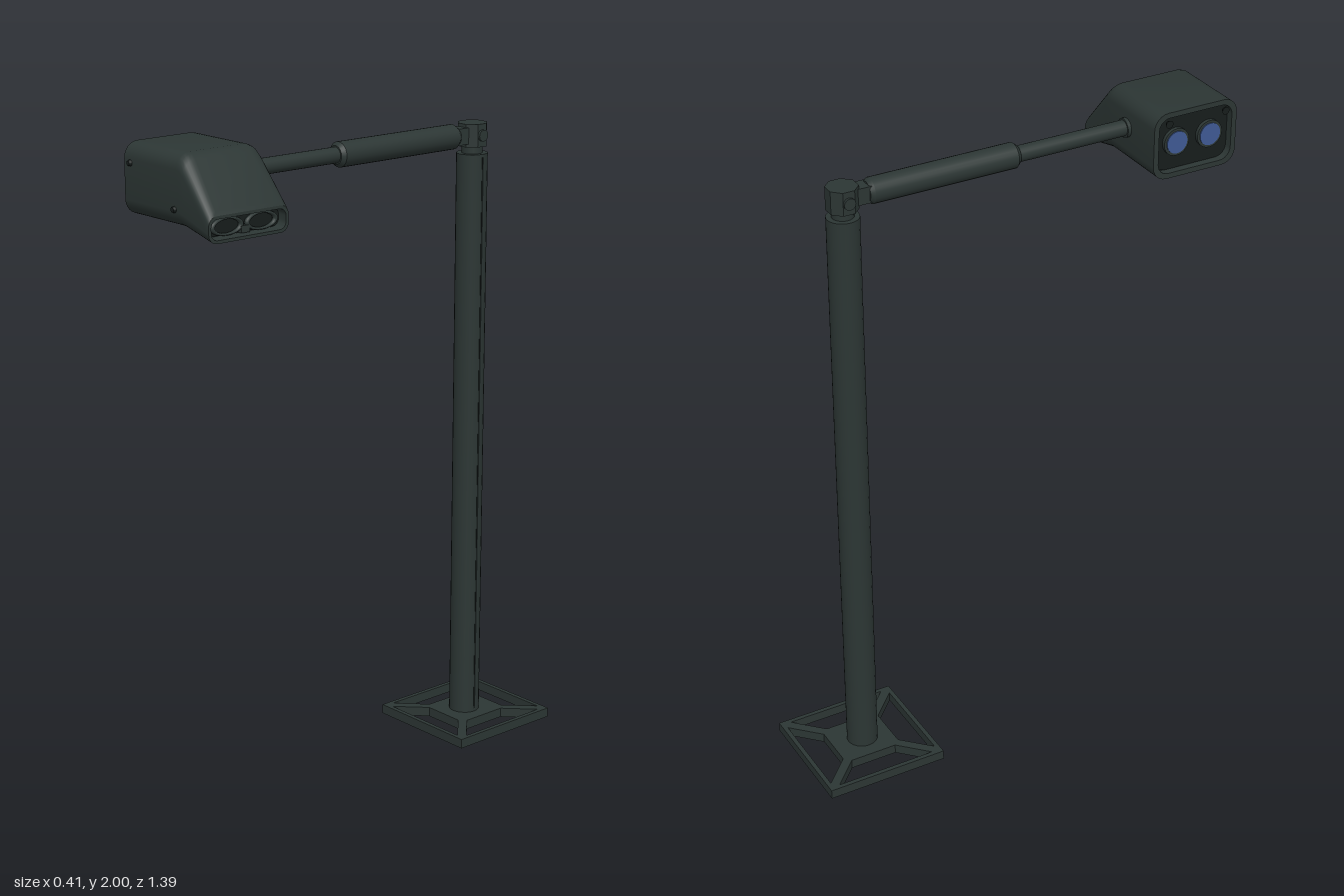
import * as THREE from 'three';
import { toCreasedNormals } from 'three/addons/utils/BufferGeometryUtils.js';

const material = (name, color) => new THREE.MeshStandardMaterial({ name, color });

// Rounded rectangle section across x, between heights y0..y1 and depths z0..z1
function section(x, y0, y1, inset, radius) {
  const z0 = 0.41 + inset, z1 = 0.688 - inset, pts = [], steps = 6;
  y0 += inset; y1 -= inset;
  const r = Math.min(radius, (y1 - y0) / 2.1);
  const corners = [[z1 - r, y1 - r], [z0 + r, y1 - r], [z0 + r, y0 + r], [z1 - r, y0 + r]];
  corners.forEach(([z, y], k) => {
    for (let i = 0; i <= steps; i++) {
      const t = (k + i / steps) * Math.PI / 2;
      pts.push([x, y + r * Math.sin(t), z + r * Math.cos(t)]);
    }
  });
  return pts;
}

// Skin joining the sections, closed at both ends
function loft(rings) {
  const n = rings[0].length, pos = rings.flat(2), idx = [];
  for (let i = 0; i < rings.length - 1; i++) {
    for (let j = 0; j < n; j++) {
      const a = i * n + j, b = i * n + (j + 1) % n;
      idx.push(a, a + n, b, b, a + n, b + n);
    }
  }
  const last = (rings.length - 1) * n;
  for (let j = 1; j < n - 1; j++) idx.push(0, j, j + 1, last, last + j + 1, last + j);
  const g = new THREE.BufferGeometry();
  g.setAttribute('position', new THREE.Float32BufferAttribute(pos, 3));
  g.setIndex(idx);
  return toCreasedNormals(g, 0.5);
}

export function createModel() {
  const model = new THREE.Group();
  const body = material('dark green grey', 0x2c3634);
  const dark = material('near black', 0x171d1c);
  const glass = material('blue glass', 0x3f5a94);
  const X = -0.021, Z = -0.5, ARM_Y = 1.907;

  const add = (name, geometry, mat, x = 0, y = 0, z = 0) => {
    const mesh = new THREE.Mesh(geometry, mat);
    mesh.name = name;
    mesh.position.set(x, y, z);
    model.add(mesh);
    return mesh;
  };
  // Cylinder centred at a point and turned along an axis
  const rod = (name, mat, r0, r1, length, axis, x, y, z, sides = 20) => {
    const g = new THREE.CylinderGeometry(r1, r0, length, sides);
    if (axis === 'x') g.rotateZ(-Math.PI / 2);
    if (axis === 'z') g.rotateX(Math.PI / 2);
    return add(name, g, mat, x, y, z);
  };

  // Base: square frame, centre plate and diagonal braces
  const w = 0.187, l = 0.193, iw = w - 0.014, il = l - 0.014, pw = 0.088, pl = 0.095, d = 0.02;
  const polygon = (pts, C) => new C(pts.map(([x, y]) => new THREE.Vector2(x, y)));
  const frame = polygon([[-w, -l], [w, -l], [w, l], [-w, l]], THREE.Shape);
  for (const s of [-1, 1]) {
    frame.holes.push(
      polygon([[-iw + d, s * il], [iw - d, s * il], [pw - d, s * pl], [-pw + d, s * pl]], THREE.Path),
      polygon([[s * iw, -il + d], [s * iw, il - d], [s * pw, pl - d], [s * pw, -pl + d]], THREE.Path));
  }
  const baseGeo = new THREE.ExtrudeGeometry(frame, { depth: 0.03, bevelEnabled: false });
  baseGeo.rotateX(-Math.PI / 2);
  add('base', baseGeo, body, X, 0, -0.505);

  // Column with a narrow seam along its side
  rod('column', body, 0.048, 0.048, 1.82, 'y', X, 0.94, Z, 24);
  add('columnSeam', new THREE.BoxGeometry(0.004, 1.8, 0.006), dark, X + 0.047, 0.94, Z);

  // Swivel joint at the column top
  rod('swivelNeck', body, 0.032, 0.032, 0.04, 'y', X, 1.86, Z);
  const joint = new THREE.CylinderGeometry(0.047, 0.047, 0.07, 8).toNonIndexed();
  joint.rotateY(Math.PI / 8);
  joint.computeVertexNormals();
  add('swivelJoint', joint, body, X, ARM_Y, Z);
  rod('hingePin', body, 0.018, 0.018, 0.102, 'x', X, ARM_Y, Z, 12);
  add('armLug', new THREE.BoxGeometry(0.048, 0.05, 0.08), body, X, ARM_Y, -0.45);

  // Telescopic arm
  rod('outerArm', body, 0.038, 0.038, 0.45, 'z', X, ARM_Y, -0.19, 24);
  rod('outerArmRearTaper', body, 0.03, 0.038, 0.012, 'z', X, ARM_Y, -0.421, 24);
  rod('outerArmCollar', body, 0.038, 0.028, 0.012, 'z', X, ARM_Y, 0.041, 24);
  rod('innerArm', body, 0.024, 0.024, 0.39, 'z', X, ARM_Y, 0.22);
  rod('armFlange', body, 0.029, 0.029, 0.014, 'z', X, ARM_Y, 0.406);

  // Viewer housing: hollow at the lens end and the eyepiece end
  const B = 1.795;
  add('viewerHousing', loft([
    section(-0.145, B, 2, 0.016, 0.035),
    section(-0.17, B, 2, 0.016, 0.035),
    section(-0.17, B, 2, 0, 0.045),
    section(0.065, B, 2, 0, 0.045),
    section(0.08, 1.793, 1.996, 0, 0.045),
    section(0.095, 1.79, 1.983, 0, 0.044),
    section(0.198, 1.771, 1.857, 0, 0.03),
    section(0.205, 1.77, 1.846, 0, 0.028),
    section(0.205, 1.77, 1.846, 0.009, 0.022),
    section(0.17, 1.773, 1.846, 0.009, 0.022)
  ]), body);

  // Lens end: dark plate, two barrels and glass
  add('lensPlate', loft([
    section(-0.149, B, 2, 0.018, 0.035), section(-0.143, B, 2, 0.018, 0.035)
  ]), dark);
  for (const s of [-1, 1]) {
    const z = 0.549 + s * 0.056;
    rod('lensBarrel', body, 0.042, 0.042, 0.012, 'x', -0.154, 1.898, z, 24);
    rod('lensGlass', glass, 0.034, 0.034, 0.004, 'x', -0.161, 1.898, z, 24);
  }

  // Eyepiece end: mask with two eye openings over a dark back
  add('eyepieceBack', loft([
    section(0.17, 1.773, 1.846, 0.011, 0.02), section(0.174, 1.773, 1.846, 0.011, 0.02)
  ]), dark);
  for (const s of [-1, 1]) {
    const eye = new THREE.TorusGeometry(0.03, 0.005, 8, 28);
    eye.rotateY(Math.PI / 2);
    eye.scale(1.5, 0.75, 1.65);
    add('eyeCup', eye, body, 0.182, 1.809, 0.549 + s * 0.06);
  }
  add('noseBridge', new THREE.BoxGeometry(0.02, 0.02, 0.03), body, 0.18, 1.794, 0.549);

  // Screws on the sides and the lens rim
  for (const [x, y] of [[-0.143, 1.945], [0.055, 1.845]]) {
    rod('sideScrew', dark, 0.01, 0.007, 0.01, 'z', x, y, 0.691, 12);
  }
  for (const z of [0.455, 0.645]) {
    rod('rimScrew', dark, 0.007, 0.012, 0.01, 'x', -0.173, 1.968, z, 12).rotation.y = Math.PI;
  }
  return model;
}
